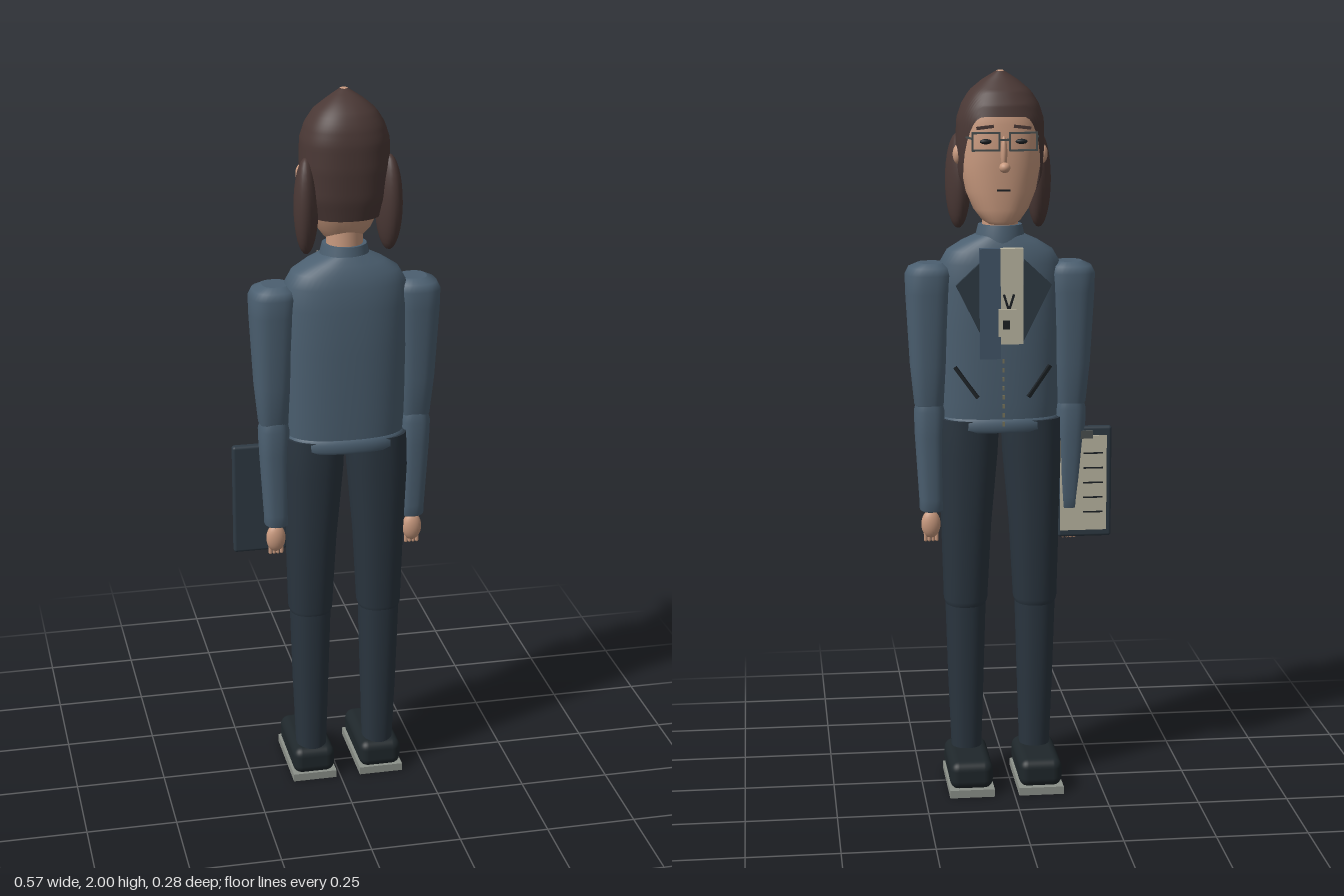
import * as THREE from 'three';
import { RoundedBoxGeometry } from 'three/addons/geometries/RoundedBoxGeometry.js';

const CX = 0.022; // body axis
const mat = (color) => new THREE.MeshStandardMaterial({ color, roughness: 0.9, side: THREE.DoubleSide });
const M = {
  skin: mat(0xc99a7f), hair: mat(0x4a3835), jacket: mat(0x4b5f70), pants: mat(0x2a353f),
  shoe: mat(0x1f272b), sole: mat(0x8c918a), paper: mat(0xbcb7a3), board: mat(0x2e3a44),
  dark: mat(0x1b2024), zip: mat(0x77745c), panel: mat(0x425568), metal: mat(0x4a5050),
};

// Rows are [y, centreX, halfWidth, frontZ, backZ]; linear lookup by height
function sample(rows, y) {
  let i = 0;
  while (i < rows.length - 2 && y > rows[i + 1][0]) i++;
  const a = rows[i], b = rows[i + 1];
  const t = THREE.MathUtils.clamp((y - a[0]) / (b[0] - a[0]), 0, 1);
  return a.map((v, k) => v + (b[k] - v) * t);
}

// Point on a superellipse section
function sectionPoint([y, cx, hw, zf, zb], angle, power) {
  const f = (v) => Math.sign(v) * Math.pow(Math.abs(v), 2 / power);
  return [cx + hw * f(Math.cos(angle)), y, (zf + zb) / 2 + ((zb - zf) / 2) * f(Math.sin(angle))];
}

// Skin between rings; pointAt(row, angle) gives each vertex
function skinRings(count, segs, pointAt, caps) {
  const pos = [], idx = [];
  for (let r = 0; r < count; r++)
    for (let s = 0; s < segs; s++) pos.push(...pointAt(r, (s / segs) * Math.PI * 2));
  for (let r = 0; r < count - 1; r++)
    for (let s = 0; s < segs; s++) {
      const n = (s + 1) % segs, a = r * segs + s, b = r * segs + n;
      idx.push(a, a + segs, b, b, a + segs, b + segs);
    }
  if (caps) for (const r of [0, count - 1]) {
    const base = pos.length / 3, c = [0, 0, 0];
    for (let s = 0; s < segs; s++) {
      const p = pos.slice((r * segs + s) * 3, (r * segs + s) * 3 + 3);
      p.forEach((v, k) => (c[k] += v / segs));
      pos.push(...p);
    }
    pos.push(...c);
    for (let s = 0; s < segs; s++) {
      const a = base + s, b = base + ((s + 1) % segs);
      idx.push(base + segs, ...(r === 0 ? [a, b] : [b, a]));
    }
  }
  const g = new THREE.BufferGeometry();
  g.setAttribute('position', new THREE.Float32BufferAttribute(pos, 3));
  g.setIndex(idx);
  g.computeVertexNormals();
  return g;
}
const loft = (rows, power = 2.3, segs = 32) =>
  skinRings(rows.length, segs, (r, a) => sectionPoint(rows[r], a, power), true);

export function createModel() {
  const root = new THREE.Group();
  root.name = 'standingFigure';
  const add = (name, geo, material, x = 0, y = 0, z = 0) => {
    const m = new THREE.Mesh(geo, material);
    m.name = name;
    m.position.set(x, y, z);
    root.add(m);
    return m;
  };
  const box = (name, w, h, d, material, x, y, z) => add(name, new THREE.BoxGeometry(w, h, d), material, x, y, z);
  const ball = (name, rx, ry, rz, material, x, y, z) => {
    const m = add(name, new THREE.SphereGeometry(1, 24, 16), material, x, y, z);
    m.scale.set(rx, ry, rz);
    return m;
  };

  // Jacket body, hem and collar
  add('jacketBody', loft([
    [1.04, CX, 0.158, -0.046, 0.13], [1.1, CX, 0.162, -0.05, 0.132], [1.3, CX, 0.168, -0.054, 0.137],
    [1.42, CX, 0.17, -0.054, 0.136], [1.48, CX, 0.165, -0.05, 0.13], [1.515, CX, 0.145, -0.042, 0.12],
    [1.54, CX, 0.105, -0.034, 0.108], [1.56, CX, 0.06, -0.025, 0.095],
  ], 2.4, 48), M.jacket);
  add('jacketHem', loft([
    [1.018, CX, 0.158, -0.048, 0.135], [1.026, CX, 0.166, -0.055, 0.14],
    [1.046, CX, 0.166, -0.055, 0.14], [1.056, CX, 0.158, -0.047, 0.132],
  ], 2.4, 48), M.jacket);
  add('collar', loft([
    [1.535, CX, 0.07, -0.035, 0.1], [1.56, CX, 0.066, -0.032, 0.094], [1.585, CX, 0.06, -0.026, 0.088],
  ], 2), M.jacket);
  add('neck', new THREE.CylinderGeometry(0.048, 0.05, 0.14, 24), M.skin, CX, 1.6, 0.032);

  // Chest panels, badge and zip
  box('frontFlap', 0.056, 0.3, 0.024, M.panel, CX + 0.038, 1.38, -0.068);
  box('shirtPanel', 0.062, 0.26, 0.024, M.paper, CX - 0.021, 1.4, -0.068);
  box('badge', 0.05, 0.075, 0.008, M.paper, CX - 0.008, 1.33, -0.086);
  box('badgePhoto', 0.018, 0.024, 0.004, M.dark, CX - 0.004, 1.325, -0.091);
  for (const s of [-1, 1])
    box('badgeStrap', 0.006, 0.045, 0.004, M.dark, CX - 0.012 + s * 0.007, 1.385, -0.083).rotation.z = -s * 0.3;
  for (let i = 0; i < 8; i++) box('zipTooth', 0.006, 0.012, 0.006, M.zip, CX, 1.045 + i * 0.025, -0.056);

  // Face and hair
  const head = [
    [1.59, CX, 0.035, -0.045, 0.04], [1.6, CX, 0.052, -0.055, 0.06], [1.63, CX, 0.075, -0.06, 0.085],
    [1.68, CX, 0.096, -0.063, 0.105], [1.75, CX, 0.109, -0.066, 0.12], [1.86, CX, 0.108, -0.066, 0.12],
    [1.92, CX, 0.09, -0.047, 0.105], [1.96, CX, 0.05, -0.01, 0.07],
  ];
  add('head', loft(head, 2.3, 40), M.skin);
  const hair = [
    [1.665, CX, 0.094, -0.05, 0.12], [1.72, CX, 0.114, -0.066, 0.131], [1.8, CX, 0.12, -0.073, 0.135],
    [1.87, CX, 0.118, -0.074, 0.133], [1.91, CX, 0.105, -0.064, 0.124], [1.945, CX, 0.083, -0.042, 0.107],
    [1.975, CX, 0.047, -0.01, 0.075], [1.998, CX, 0.01, 0.012, 0.032],
  ];
  const ROWS = 28;
  add('hair', skinRings(ROWS, 64, (r, a) => {
    const front = THREE.MathUtils.smoothstep(-Math.sin(a), 0.15, 0.92);
    const low = 1.665 + 0.215 * front;
    return sectionPoint(sample(hair, low + ((1.998 - low) * r) / (ROWS - 1)), a, 2.3);
  }, false), M.hair);
  ball('crown', 0.012, 0.004, 0.012, M.skin, CX, 1.996, 0.022);
  ball('noseTip', 0.015, 0.014, 0.016, M.skin, CX, 1.748, -0.09);
  ball('noseBridge', 0.009, 0.045, 0.014, M.skin, CX, 1.785, -0.07);
  box('mouth', 0.036, 0.005, 0.006, M.dark, CX, 1.685, -0.063);
  box('glassesBridge', 0.026, 0.005, 0.005, M.metal, CX, 1.822, -0.092);

  // Trouser, shoe and arm sections for the +x side
  const thigh = [
    [0.515, 0.098, 0.055, -0.022, 0.098], [0.53, 0.098, 0.061, -0.027, 0.103],
    [0.75, 0.095, 0.07, -0.035, 0.115], [0.95, 0.09, 0.083, -0.042, 0.125], [1.05, 0.086, 0.084, -0.044, 0.125],
  ];
  const shin = [
    [0.08, 0.097, 0.042, -0.01, 0.088], [0.3, 0.098, 0.05, -0.017, 0.095],
    [0.5, 0.098, 0.056, -0.022, 0.1], [0.54, 0.098, 0.056, -0.022, 0.1],
  ];
  const upperArm = [
    [1.075, 0.196, 0.03, 0.0, 0.062], [1.09, 0.197, 0.041, -0.008, 0.075], [1.2, 0.197, 0.052, -0.02, 0.088],
    [1.4, 0.196, 0.064, -0.032, 0.1], [1.45, 0.195, 0.066, -0.034, 0.102], [1.47, 0.193, 0.058, -0.026, 0.094],
    [1.482, 0.19, 0.035, -0.005, 0.07],
  ];
  const foreArm = [
    [0.785, 0.191, 0.028, 0.005, 0.065], [0.79, 0.191, 0.034, -0.002, 0.072], [0.82, 0.191, 0.035, -0.003, 0.073],
    [1.0, 0.196, 0.041, -0.01, 0.08], [1.07, 0.196, 0.043, -0.011, 0.082], [1.1, 0.196, 0.034, -0.004, 0.074],
  ];

  for (const s of [-1, 1]) {
    const side = s > 0 ? 'left' : 'right';
    const X = (d) => CX + s * d;
    const place = (rows) => rows.map(([y, x, ...rest]) => [y, X(x), ...rest]);

    // Legs and shoes
    add(side + 'Thigh', loft(place(thigh)), M.pants);
    add(side + 'Shin', loft(place(shin)), M.pants);
    add(side + 'Shoe', new RoundedBoxGeometry(0.12, 0.08, 0.236, 4, 0.026), M.shoe, X(0.097), 0.057, -0.018);
    box(side + 'Sole', 0.125, 0.022, 0.244, M.sole, X(0.097), 0.011, -0.022);

    // Arms and hands
    add(side + 'UpperArm', loft(place(upperArm), 2.6), M.jacket);
    add(side + 'Forearm', loft(place(foreArm), 2.6), M.jacket);
    ball(side + 'Palm', 0.027, 0.04, 0.019, M.skin, X(0.194), 0.745, 0.038);
    for (let i = 0; i < 4; i++)
      add(side + 'Finger', new THREE.CapsuleGeometry(0.005, 0.022, 4, 8), M.skin, X(0.178 + i * 0.0105), 0.711, 0.036);

    // Lapel and slanted pocket
    const shape = new THREE.Shape([[0.055, 1.5], [0.13, 1.43], [0.05, 1.27]].map(([x, y]) => new THREE.Vector2(s * x, y)));
    add(side + 'Lapel', new THREE.ExtrudeGeometry(shape, { depth: 0.012, bevelEnabled: false }), M.board, CX, 0, -0.07);
    const pocket = box(side + 'Pocket', 0.009, 0.105, 0.012, M.dark, X(0.1), 1.16, -0.042);
    pocket.rotation.set(0, -s * 0.25, -s * 0.65);

    // Ear, pigtail, eye and brow
    ball(side + 'Ear', 0.014, 0.026, 0.018, M.skin, X(0.115), 1.775, 0.022);
    ball(side + 'Pigtail', 0.033, 0.13, 0.05, M.hair, X(0.111), 1.7, 0.07).rotation.y = s * 0.25;
    ball(side + 'Eye', 0.016, 0.007, 0.008, M.dark, X(0.048), 1.815, -0.064);
    box(side + 'Brow', 0.046, 0.008, 0.012, M.hair, X(0.05), 1.853, -0.066).rotation.z = -s * 0.12;

    // Rectangular glasses rim and temple
    for (const e of [-1, 1]) {
      box(side + 'RimBar', 0.076, 0.005, 0.005, M.metal, X(0.05), 1.817 + e * 0.023, -0.092);
      box(side + 'RimPost', 0.005, 0.05, 0.005, M.metal, X(0.05 + e * 0.036), 1.817, -0.092);
    }
    box(side + 'Temple', 0.004, 0.005, 0.12, M.metal, X(0.097), 1.825, -0.034).rotation.y = s * 0.19;
  }

  // Clipboard with ruled paper, held in the right hand
  add('clipboard', new RoundedBoxGeometry(0.15, 0.315, 0.024, 3, 0.008), M.board, -0.213, 0.862, 0.017);
  box('clipboardPaper', 0.13, 0.27, 0.004, M.paper, -0.208, 0.86, 0.002);
  for (let i = 0; i < 5; i++) box('paperLine', 0.055, 0.004, 0.003, M.dark, -0.235, 0.945 - i * 0.042, -0.001);
  box('clip', 0.05, 0.022, 0.01, M.metal, -0.208, 0.998, 0.001);
  return root;
}
